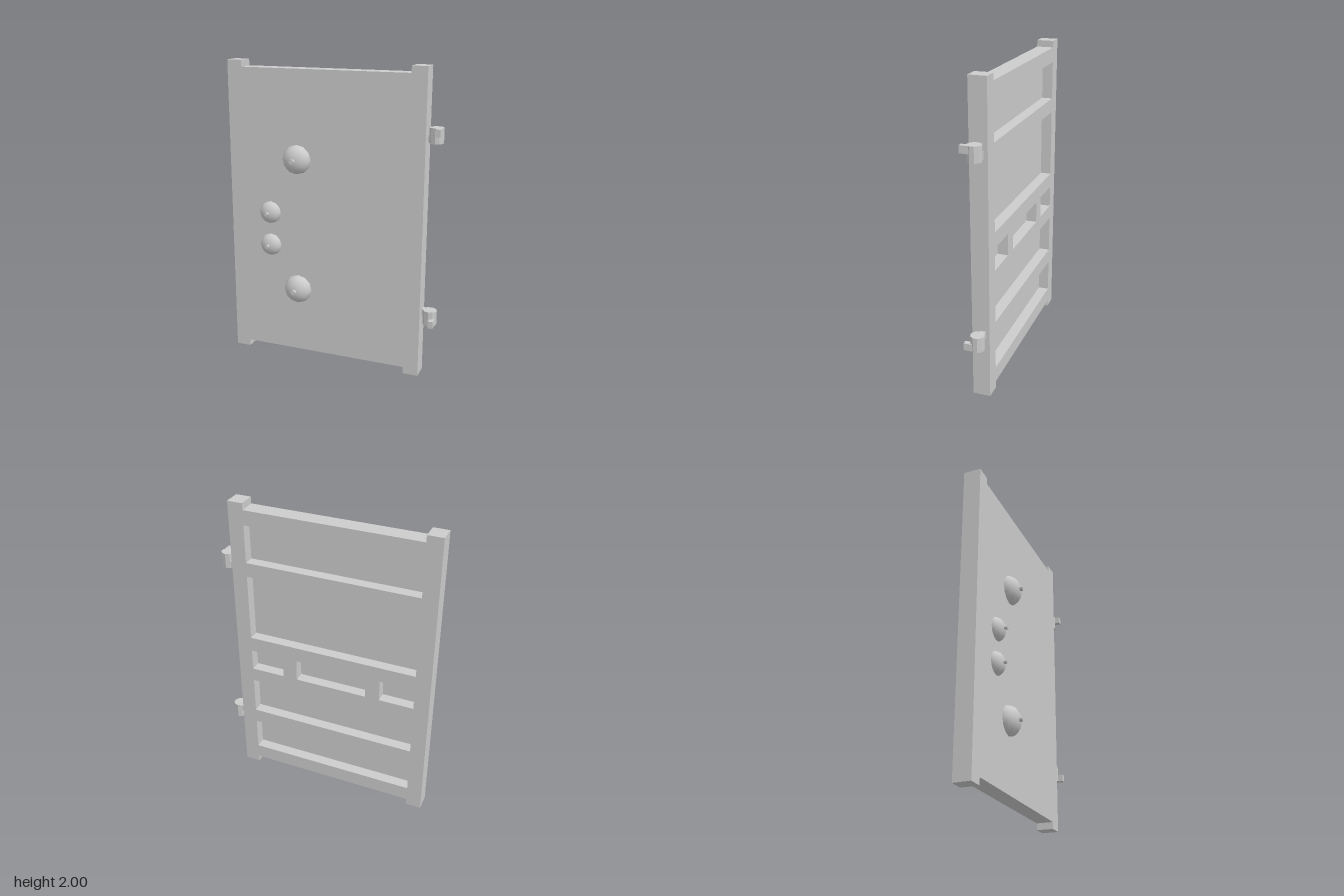
import * as THREE from 'three';

const mat = new THREE.MeshStandardMaterial({ color: 0xcccccc });
const flat = new THREE.MeshStandardMaterial({ color: 0xcccccc, flatShading: true });

const BACK = -0.104, FLOOR = -0.033, FRONT = 0.008; // door depth planes
const L = -0.715, R = 0.615, POST = 0.1;            // door sides and post width

function add(parent, name, geometry, material = mat) {
  const mesh = new THREE.Mesh(geometry, material);
  mesh.name = name;
  parent.add(mesh);
  return mesh;
}

function box(parent, name, x0, x1, y0, y1, z0, z1) {
  add(parent, name, new THREE.BoxGeometry(x1 - x0, y1 - y0, z1 - z0))
    .position.set((x0 + x1) / 2, (y0 + y1) / 2, (z0 + z1) / 2);
}

// Door outline: corner posts stand proud of the top and bottom edges
function outline() {
  const a = L + POST, b = R - POST, lo = 0.045, hi = 1.957;
  return new THREE.Shape([
    [L, 0], [a, 0], [a, lo], [b, lo], [b, 0], [R, 0],
    [R, 2], [b, 2], [b, hi], [a, hi], [a, 2], [L, 2],
  ].map(([x, y]) => new THREE.Vector2(x, y)));
}

function slab(parent, name, shape, z0, z1) {
  const geometry = new THREE.ExtrudeGeometry(shape, { depth: z1 - z0, bevelEnabled: false });
  add(parent, name, geometry).position.z = z0;
}

// Shallow dome with a small pin, pointing forward
function makeDome(x, y, radius, height, pinRadius) {
  const dome = new THREE.Group();
  dome.name = 'domeBoss';
  const cap = new THREE.SphereGeometry(1, 12, 6, 0, Math.PI * 2, 0, Math.PI / 2);
  cap.scale(radius, height, radius);
  cap.rotateX(Math.PI / 2);
  add(dome, 'domeCap', cap);
  const pin = new THREE.CylinderGeometry(pinRadius, pinRadius, 0.04, 10);
  pin.rotateX(Math.PI / 2);
  add(dome, 'domePin', pin).position.z = height;
  dome.position.set(x, y, FRONT);
  return dome;
}

// Hinge knuckle with a forward leaf on one half and a door tab on the other
function makeHinge(y, dir) {
  const hinge = new THREE.Group();
  hinge.name = 'hinge';
  const half = 0.048;
  add(hinge, 'knuckle', new THREE.CylinderGeometry(0.045, 0.045, half * 2, 10), flat)
    .position.set(0.668, 0, -0.047);
  const span = (s) => (s > 0 ? [0.001, half - 0.0005] : [-half + 0.0005, -0.001]);
  box(hinge, 'leaf', 0.676, 0.707, ...span(dir), -0.047, 0.028);
  box(hinge, 'doorTab', R - 0.005, 0.66, ...span(-dir), -0.08, -0.047);
  hinge.position.y = y;
  return hinge;
}

export function createModel() {
  const model = new THREE.Group();
  model.name = 'door';

  // Front sheet, and the rear frame of posts, rails and stiles
  slab(model, 'frontPlate', outline(), FLOOR, FRONT);
  const frame = outline();
  const a = L + POST, b = R - POST;
  const openings = [
    [a, b, 1.61, 1.86], [a, b, 1.065, 1.515], [a, b, 0.47, 0.725], [a, b, 0.145, 0.37],
    [a, -0.386, 0.82, 0.965], [-0.29, 0.19, 0.82, 0.965], [0.286, b, 0.82, 0.965],
  ];
  for (const [x0, x1, y0, y1] of openings) {
    frame.holes.push(new THREE.Path([
      new THREE.Vector2(x0, y0), new THREE.Vector2(x0, y1),
      new THREE.Vector2(x1, y1), new THREE.Vector2(x1, y0),
    ]));
  }
  slab(model, 'rearFrame', frame, BACK, FLOOR);

  // Domes on the front face
  for (const y of [0.49, 1.38]) model.add(makeDome(-0.232, y, 0.096, 0.073, 0.016));
  for (const y of [0.783, 1.008]) model.add(makeDome(-0.428, y, 0.075, 0.053, 0.012));

  // Hinges, mirrored top to bottom
  model.add(makeHinge(1.588, 1), makeHinge(0.407, -1));
  return model;
}
